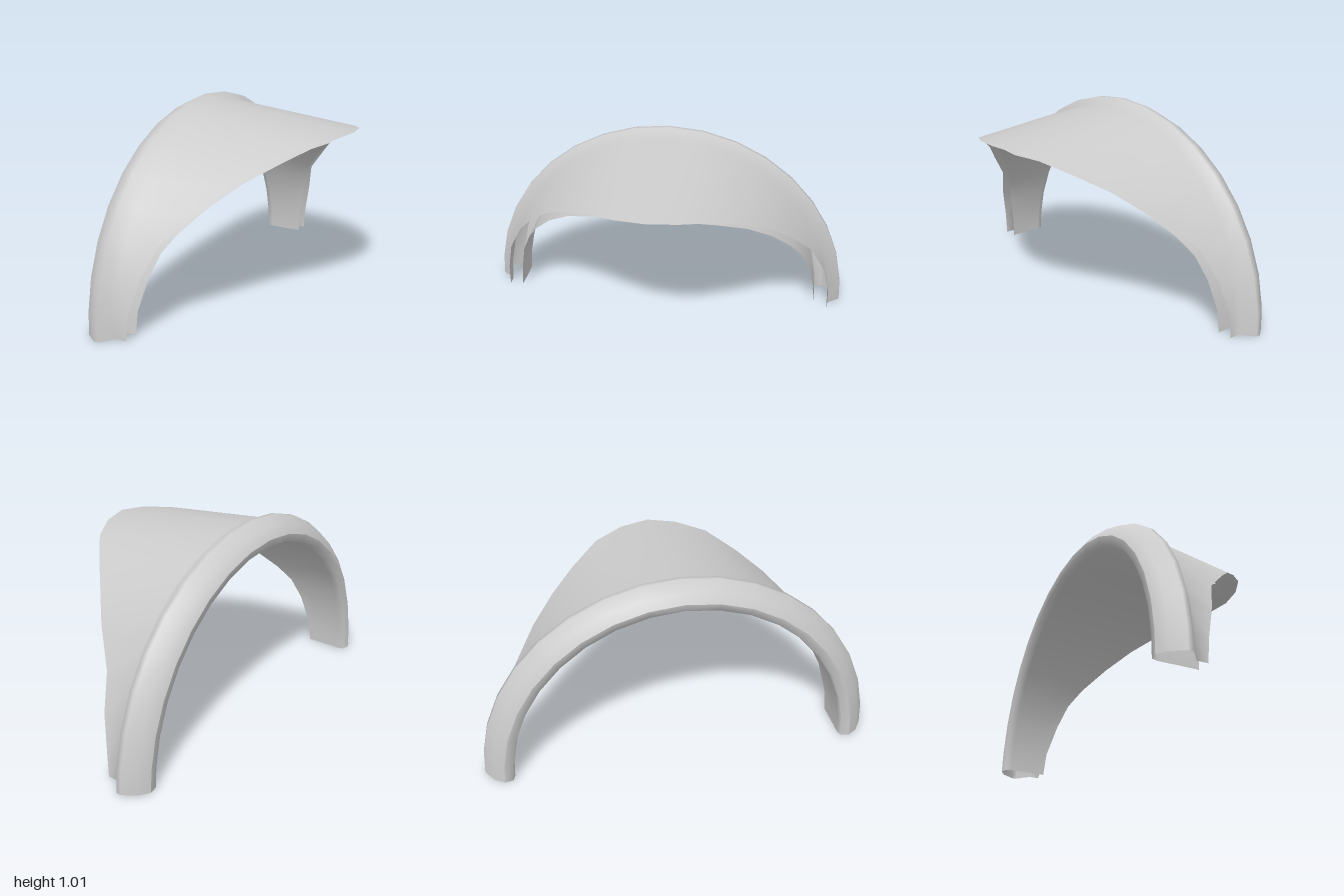
import * as THREE from 'three';

// Half-arch stations from the crown (0) down to the ground (90 degrees)
const ANGLES = [0, 10.6, 21, 31.5, 41.8, 52.2, 62.5, 73, 83, 90];

// Profile rows: [x, radius at the crown, radius at the ground]
const BEAD = [
  [-0.48, 0.93, 0.905], [-0.45, 0.975, 0.955], [-0.385, 1.01, 1.0],
  [-0.36, 1.01, 1.0], [-0.305, 0.977, 0.93],
];
const LINING = [[-0.3, 0.875, 0.855], [-0.44, 0.882, 0.853], [-0.472, 0.893, 0.862], [-0.48, 0.93, 0.905]];

// Free edges, one [x, y, z] per station
const OUTER_EDGE = [
  [0.475, 0.893, 0], [0.44, 0.882, 0.15], [0.357, 0.855, 0.3], [0.23, 0.787, 0.44], [0.11, 0.706, 0.565],
  [0, 0.6, 0.68], [-0.14, 0.45, 0.8], [-0.195, 0.29, 0.885], [-0.24, 0.12, 0.925], [-0.25, 0, 0.93],
];
const INNER_EDGE = [
  [0.345, 0.825, 0], [0.32, 0.825, 0.16], [0.23, 0.772, 0.31], [0.11, 0.695, 0.46], [0, 0.597, 0.59],
  [-0.1, 0.487, 0.69], [-0.157, 0.4, 0.755], [-0.197, 0.28, 0.81], [-0.24, 0.12, 0.845], [-0.25, 0, 0.855],
];

// One row of points over half the arch
function archRow([x, top, side]) {
  return ANGLES.map((deg) => {
    const a = THREE.MathUtils.degToRad(deg);
    const r = side + (top - side) * Math.cos(a) ** 2;
    return [x, deg === 90 ? 0 : r * Math.cos(a), r * Math.sin(a)];
  });
}

// Skin a list of half rows, mirrored across z = 0
function panel(name, halfRows, material) {
  const rows = halfRows.map((row) => [
    ...row.slice(1).reverse().map(([x, y, z]) => [x, y, -z]),
    ...row,
  ]);
  const n = rows[0].length;
  const index = [];
  for (let j = 0; j < rows.length - 1; j++) {
    for (let k = 0; k < n - 1; k++) {
      const a = j * n + k, b = a + 1, c = a + n, d = c + 1;
      // Diagonals mirror about the crown
      if (k < (n - 1) / 2) index.push(a, b, c, b, d, c);
      else index.push(a, b, d, a, d, c);
    }
  }
  const geometry = new THREE.BufferGeometry();
  geometry.setAttribute('position', new THREE.Float32BufferAttribute(rows.flat(2), 3));
  geometry.setIndex(index);
  geometry.computeVertexNormals();
  const mesh = new THREE.Mesh(geometry, material);
  mesh.name = name;
  return mesh;
}

export function createModel() {
  const group = new THREE.Group();
  group.name = 'wheelArch';
  const material = new THREE.MeshStandardMaterial({ color: 0xcccccc, side: THREE.DoubleSide });

  // Outer skin: rounded bead at the lip, flaring into the tapered panel
  group.add(panel('outerPanel', [...BEAD.map(archRow), OUTER_EDGE], material));

  // Inner lining: from its free edge back to the lip
  group.add(panel('innerLining', [INNER_EDGE, ...LINING.map(archRow)], material));

  return group;
}
